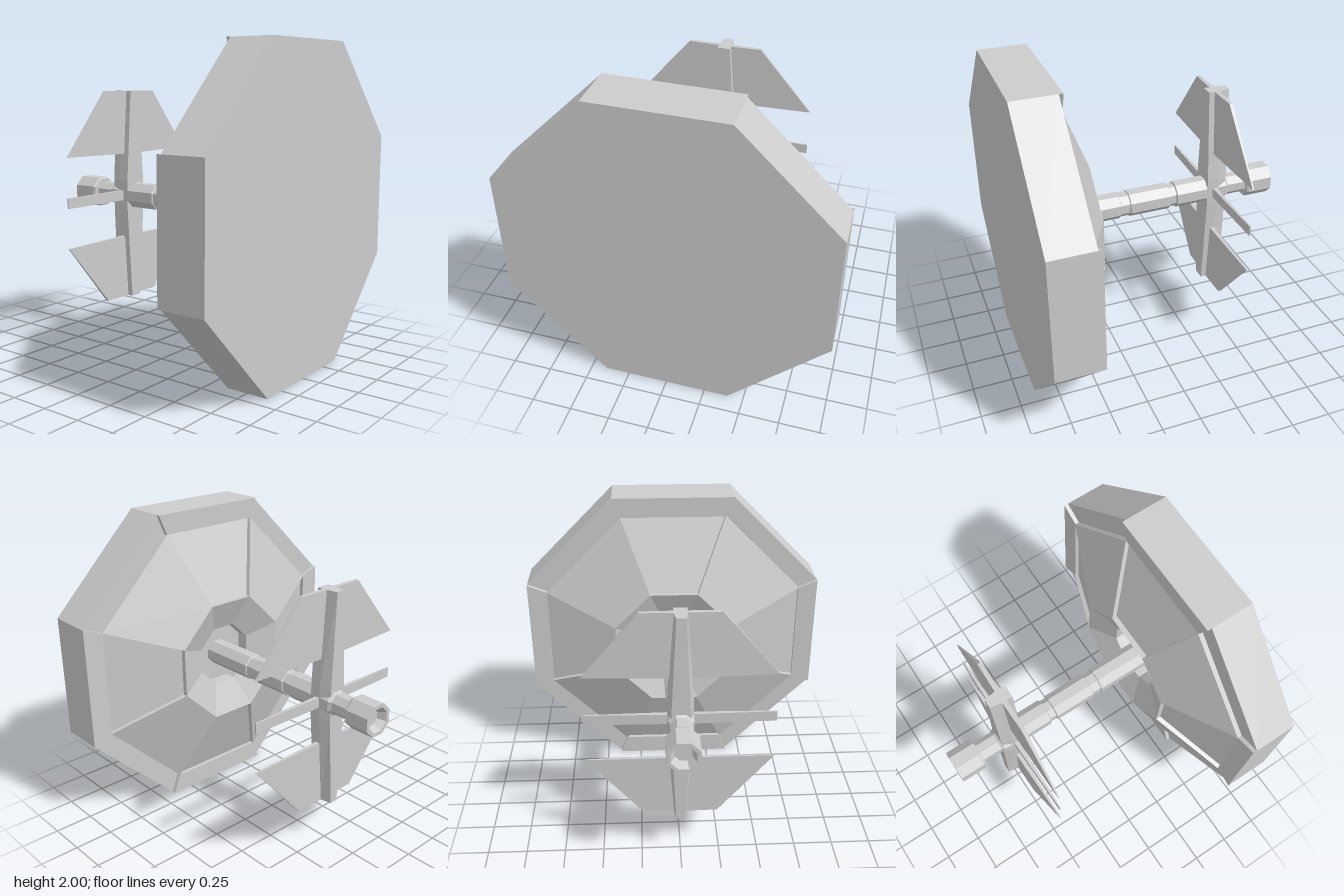
import * as THREE from 'three';

const material = new THREE.MeshStandardMaterial({ color: 0xcccccc, flatShading: true, side: THREE.DoubleSide });

function addMesh(parent, name, geometry) {
  const mesh = new THREE.Mesh(geometry, material);
  mesh.name = name;
  parent.add(mesh);
  return mesh;
}

// One wedge of the octagonal dish: a closed (radius, z) profile swept between corners a and b
function wedge(a, b, profile) {
  const pos = [];
  const at = (c, [r, z]) => [c[0] * r, c[1] * r, z];
  const tri = (...points) => points.forEach((p) => pos.push(...p));
  profile.forEach((p, i) => {
    const q = profile[(i + 1) % profile.length];
    if (p[0] === 0 && q[0] === 0) return;
    if (q[0] > 0) tri(at(a, p), at(a, q), at(b, q));
    if (p[0] > 0) tri(at(a, p), at(b, q), at(b, p));
  });
  // side walls, seen where neighbouring wedges step up or down
  const outline = profile.map(([r, z]) => new THREE.Vector2(r, z));
  for (const [i, j, k] of THREE.ShapeUtils.triangulateShape(outline, [])) {
    tri(at(a, profile[i]), at(a, profile[j]), at(a, profile[k]));
    tri(at(b, profile[i]), at(b, profile[k]), at(b, profile[j]));
  }
  const g = new THREE.BufferGeometry();
  g.setAttribute('position', new THREE.Float32BufferAttribute(pos, 3));
  g.computeVertexNormals();
  return g;
}

// Dish of eight wedges; rims and panels alternate in height
function buildDish() {
  const dish = new THREE.Group();
  dish.name = 'dish';
  const corners = [[1, -0.4], [1, 0.4], [0.4, 1], [-0.4, 1], [-1, 0.4], [-1, -0.4], [-0.4, -1], [0.4, -1]];
  corners.forEach((a, i) => {
    const diagonal = i % 2 === 1;
    const rim = diagonal ? 0.617 : 0.59;
    const panelOuter = diagonal ? 0.588 : 0.617;
    const panelInner = diagonal ? 0.393 : 0.425;
    addMesh(dish, 'dishPanel', wedge(a, corners[(i + 1) % 8], [
      [0, 0.89], [1, 0.89], [1, rim], [0.87, rim], [0.87, panelOuter],
      [0.4, panelInner], [0.4, 0.392], [0.2, 0.48], [0.2, 0.56], [0, 0.56],
    ]));
  });
  return dish;
}

// Eight-sided shaft with grooves and a hollow-ended knob; profile is (apothem, z)
function buildShaft() {
  const profile = [
    [0, 0.57], [0.08, 0.57], [0.08, 0.17], [0.072, 0.165], [0.072, 0.105], [0.08, 0.1],
    [0.08, -0.17], [0.07, -0.175], [0.07, -0.215], [0.08, -0.22], [0.08, -0.565],
    [0.066, -0.585], [0.066, -0.715], [0.09, -0.715], [0.098, -0.73], [0.098, -0.89],
    [0.075, -0.89], [0.05, -0.84], [0, -0.84],
  ];
  const points = profile.map(([r, z]) => new THREE.Vector2(r / Math.cos(Math.PI / 8), -z));
  return new THREE.LatheGeometry(points, 8, Math.PI / 8).rotateX(-Math.PI / 2);
}

// Upright post, widest at the shaft, with a narrower back edge
function buildPost() {
  const s = new THREE.Shape();
  [[0.04, 0.7], [-0.04, 0.7], [-0.08, 0.1], [-0.08, -0.1], [-0.04, -0.7], [0.04, -0.7], [0.08, -0.1], [0.08, 0.1]]
    .forEach(([x, y], i) => (i ? s.lineTo(x, y) : s.moveTo(x, y)));
  const g = new THREE.ExtrudeGeometry(s, { depth: 0.14, bevelEnabled: false, steps: 2 }).translate(0, 0, -0.57);
  const p = g.attributes.position;
  for (let i = 0; i < p.count; i++) if (p.getZ(i) < -0.56) p.setX(i, p.getX(i) * 0.7);
  g.computeVertexNormals();
  return g;
}

// Thin blade extending along x, thinning toward the tip
function blade(points) {
  const s = new THREE.Shape(points.map(([x, y]) => new THREE.Vector2(x, y)));
  const g = new THREE.ExtrudeGeometry(s, { depth: 1, bevelEnabled: false }).translate(0, 0, -0.5);
  const p = g.attributes.position;
  for (let i = 0; i < p.count; i++) {
    p.setZ(i, -0.482 + p.getZ(i) * (0.032 - 0.04 * Math.abs(p.getX(i))));
  }
  g.computeVertexNormals();
  return g;
}

export function createModel() {
  const model = new THREE.Group();
  const body = new THREE.Group();
  body.name = 'body';
  body.position.y = 1;
  model.add(body);

  body.add(buildDish());
  addMesh(body, 'shaft', buildShaft());
  addMesh(body, 'post', buildPost());

  // Four swept vanes and two level bars
  for (const sx of [1, -1]) {
    for (const sy of [1, -1]) {
      addMesh(body, 'vane', blade(
        [[0.02, 0.28], [0.58, 0.29], [0.235, 0.7], [0.02, 0.7]].map(([x, y]) => [x * sx, y * sy])));
    }
    addMesh(body, 'sideBar', blade([[0.03, -0.033], [0.58, -0.033], [0.58, 0.033], [0.03, 0.033]].map(([x, y]) => [x * sx, y])));
  }
  return model;
}
